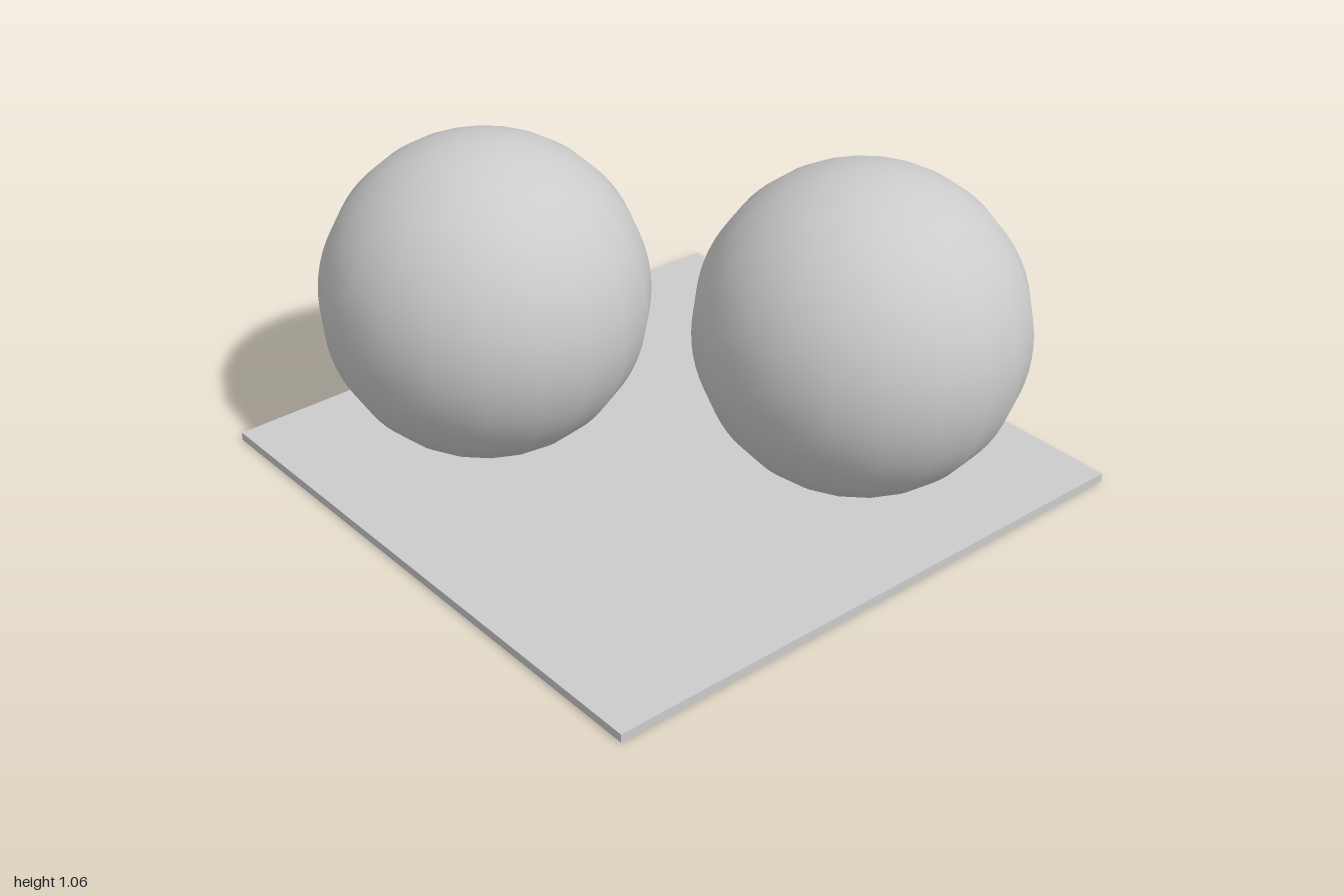
import * as THREE from 'three';

export function createModel() {
  const group = new THREE.Group();
  const material = new THREE.MeshStandardMaterial({ color: 0xcccccc });

  const add = (name, geometry, x, y, z) => {
    const mesh = new THREE.Mesh(geometry, material);
    mesh.name = name;
    mesh.position.set(x, y, z);
    group.add(mesh);
  };

  // Thin square base
  add('basePlate', new THREE.BoxGeometry(1.97, 0.028, 1.97), 0.015, 0.014, 0);

  // Two equal balls on opposite corners, sunk slightly into the plate
  const ball = new THREE.SphereGeometry(0.528, 20, 40);
  add('frontRightBall', ball, -0.472, 0.535, 0.338);
  add('backLeftBall', ball, 0.455, 0.535, -0.42);

  return group;
}
